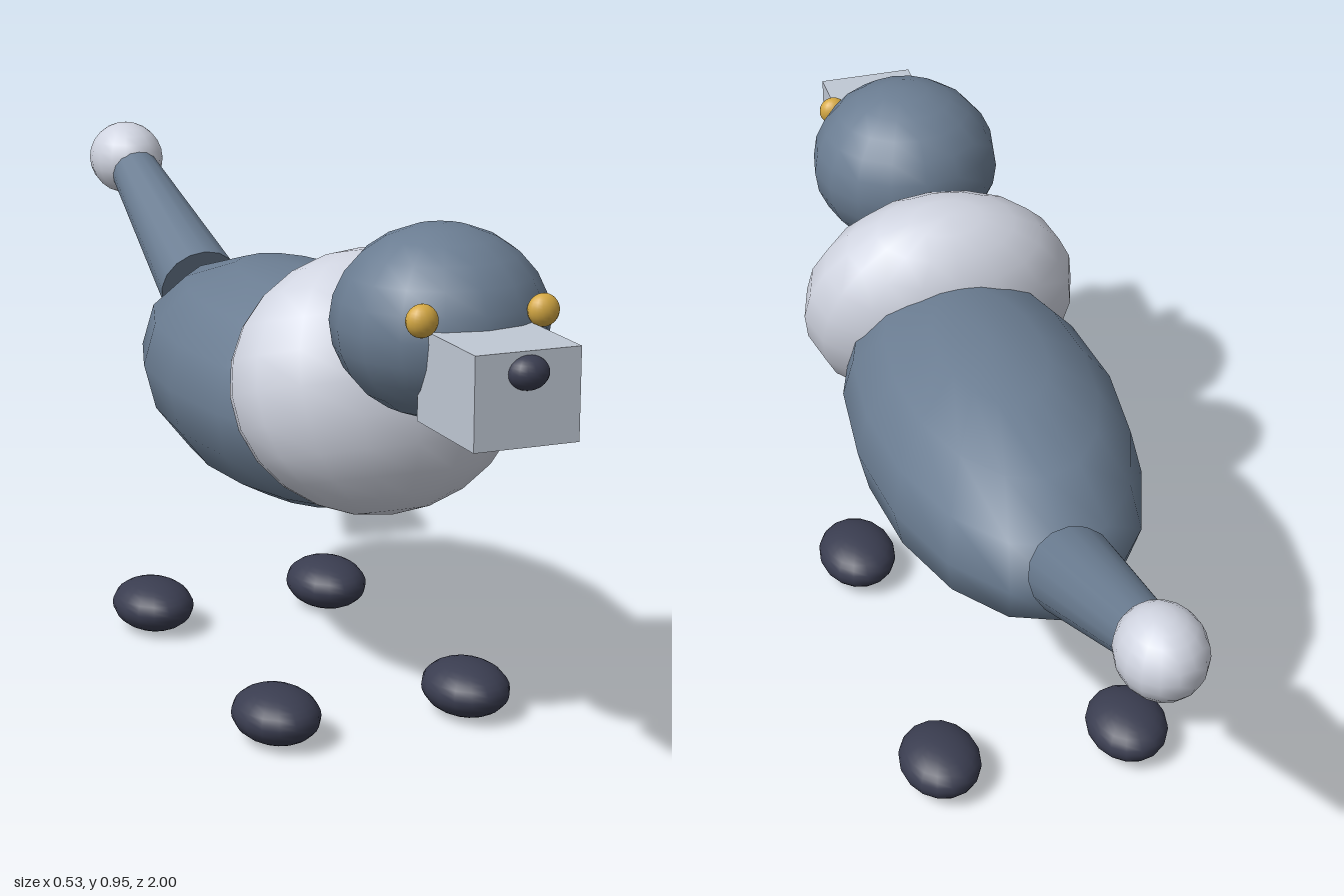
import * as THREE from 'three';

const material = (name, color) => {
  const m = new THREE.MeshStandardMaterial({ color });
  m.name = name;
  return m;
};

export function createModel() {
  const group = new THREE.Group();
  const slate = material('slate fur', 0x6b7d92);
  const pale = material('pale fur', 0xd0d4e0);
  const silver = material('silver muzzle', 0xc0c8d4);
  const dark = material('dark paws', 0x3a3d50);
  const gold = material('gold eyes', 0xd4a843);

  const add = (name, geometry, mat, [x, y, z], tilt = 0) => {
    const mesh = new THREE.Mesh(geometry, mat);
    mesh.name = name;
    mesh.position.set(x, y, z);
    mesh.rotation.x = tilt;
    group.add(mesh);
    return mesh;
  };
  // Sphere stretched to three radii
  const ellipsoid = (name, mat, position, radii, w = 16, h = 16, tilt = 0) =>
    add(name, new THREE.SphereGeometry(1, w, h), mat, position, tilt).scale.set(...radii);

  // Body and the ruff leaning back around the shoulders
  ellipsoid('body', slate, [0, 0.555, 0.05], [0.25, 0.21, 0.505], 16, 8);
  ellipsoid('ruff', pale, [0, 0.632, 0.405], [0.265, 0.23, 0.172], 16, 12, -0.3);

  // Head, block muzzle and nose
  ellipsoid('head', slate, [0, 0.792, 0.655], [0.18, 0.159, 0.18], 16, 12);
  add('muzzle', new THREE.BoxGeometry(0.18, 0.152, 0.206), silver, [0, 0.736, 0.87]);
  ellipsoid('nose', dark, [0, 0.778, 0.97], [0.035, 0.028, 0.03]);

  // Eyes and paws, mirrored left and right
  for (const side of [1, -1]) {
    const label = side > 0 ? 'left' : 'right';
    ellipsoid(label + 'Eye', gold, [side * 0.105, 0.833, 0.813], [0.027, 0.027, 0.021]);
    ellipsoid(label + 'FrontPaw', dark, [side * 0.182, 0.05, 0.395], [0.076, 0.049, 0.096]);
    ellipsoid(label + 'BackPaw', dark, [side * 0.182, 0.05, -0.25], [0.076, 0.049, 0.096]);
  }

  // Tapered tail rising to a pale tip
  const base = new THREE.Vector3(0, 0.622, -0.468);
  const tip = new THREE.Vector3(0, 0.795, -0.87);
  const along = tip.clone().sub(base);
  const tail = new THREE.CylinderGeometry(0.048, 0.08, along.length(), 16);
  add('tail', tail, slate, base.clone().lerp(tip, 0.5).toArray(), Math.atan2(along.z, along.y));
  ellipsoid('tailTip', pale, [0, 0.808, -0.912], [0.075, 0.074, 0.088], 16, 12);

  return group;
}
